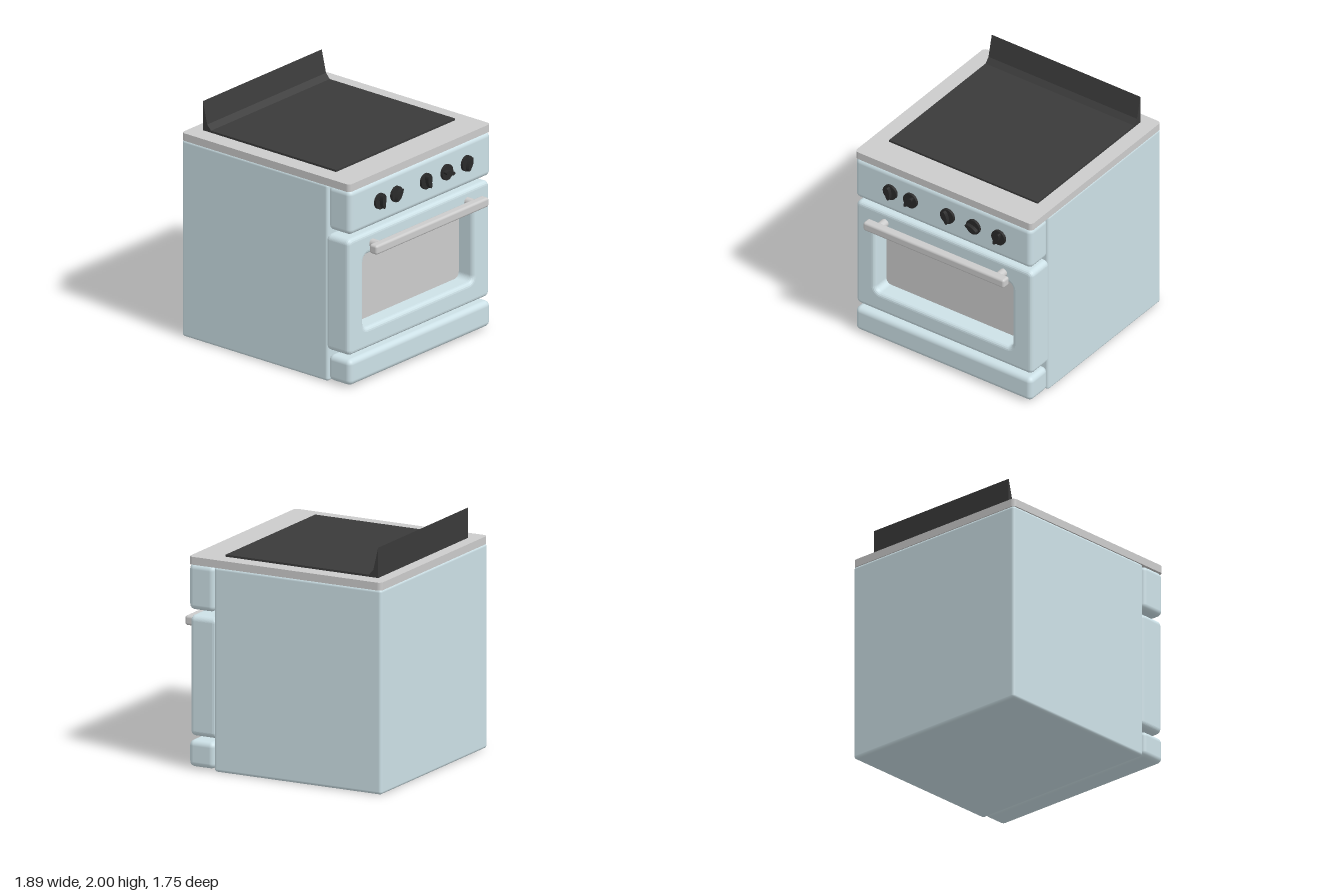
import * as THREE from 'three';
import { RoundedBoxGeometry } from 'three/addons/geometries/RoundedBoxGeometry.js';

const material = (color) => new THREE.MeshStandardMaterial({ color });

// Rounded rectangle outline centred on (cx, cy)
function roundRect(path, cx, cy, w, h, r) {
  const x0 = cx - w / 2, x1 = cx + w / 2, y0 = cy - h / 2, y1 = cy + h / 2;
  path.moveTo(x0 + r, y0);
  path.lineTo(x1 - r, y0);
  path.absarc(x1 - r, y0 + r, r, -Math.PI / 2, 0);
  path.lineTo(x1, y1 - r);
  path.absarc(x1 - r, y1 - r, r, 0, Math.PI / 2);
  path.lineTo(x0 + r, y1);
  path.absarc(x0 + r, y1 - r, r, Math.PI / 2, Math.PI);
  path.lineTo(x0, y0 + r);
  path.absarc(x0 + r, y0 + r, r, Math.PI, Math.PI * 1.5);
  return path;
}

export function createModel() {
  const model = new THREE.Group();
  model.name = 'stove';
  const enamel = material(0xcce0e6);
  const steel = material(0xcccccc);
  const black = material(0x3a3a3a);
  const knobBlack = material(0x2a2a2a);

  function add(name, geometry, mat, parent = model) {
    const mesh = new THREE.Mesh(geometry, mat);
    mesh.name = name;
    parent.add(mesh);
    return mesh;
  }

  // Softened box given by its limits on each axis
  function box(name, x, y, z, r, mat) {
    const g = new RoundedBoxGeometry(x[1] - x[0], y[1] - y[0], z[1] - z[0], 4, r);
    g.translate((x[0] + x[1]) / 2, (y[0] + y[1]) / 2, (z[0] + z[1]) / 2);
    return add(name, g, mat);
  }

  // Cabinet with control panel above and drawer below the door
  const width = [-0.87, 0.87];
  box('body', [-0.95, 0.58], [0, 1.69], width, 0.025, enamel);
  box('controlPanel', [0.58, 0.815], [1.31, 1.69], width, 0.045, enamel);
  box('drawer', [0.58, 0.815], [0.015, 0.235], width, 0.045, enamel);

  // Oven door with a deep window opening, extruded and turned to face +x
  const b = 0.035;
  const door = roundRect(new THREE.Shape(), 0, 0.7675, 1.74 - 2 * b, 0.995 - 2 * b, 0.012);
  door.holes.push(roundRect(new THREE.Path(), -0.005, 0.765, 1.35 + 2 * b, 0.63 + 2 * b, 0.05 + b));
  const doorGeometry = new THREE.ExtrudeGeometry(door, {
    depth: 0.24 - 2 * b, bevelSize: b, bevelThickness: b, bevelSegments: 4, curveSegments: 6,
  });
  doorGeometry.rotateY(Math.PI / 2);
  // mirrored sideways offset: shape x becomes -z
  doorGeometry.translate(0.56 + b, 0, 0);
  add('ovenDoor', doorGeometry, enamel);
  box('ovenWindow', [0.6, 0.645], [0.42, 1.11], [-0.71, 0.71], 0.01, steel);

  // Handle bar on two posts
  box('handle', [0.865, 0.945], [1.125, 1.205], [-0.695, 0.695], 0.02, steel);
  for (const z of [0.58, -0.59]) {
    const post = add('handlePost', new THREE.CylinderGeometry(0.035, 0.035, 0.1, 24), steel);
    post.rotation.z = Math.PI / 2;
    post.position.set(0.84, 1.165, z);
  }

  // Worktop slab with rounded plan corners
  const top = roundRect(new THREE.Shape(), -0.07, 0, 1.76, 1.745, 0.035);
  const topGeometry = new THREE.ExtrudeGeometry(top, { depth: 0.065, bevelEnabled: false, curveSegments: 6 });
  topGeometry.rotateX(-Math.PI / 2);
  topGeometry.translate(0, 1.685, 0);
  add('worktop', topGeometry, steel);

  // Hob plate and upswept back guard in one profile
  const profile = new THREE.Shape([
    [-0.85, 1.745], [0.545, 1.745], [0.545, 1.767], [-0.765, 1.767],
    [-0.805, 1.81], [-0.85, 2],
  ].map(([x, y]) => new THREE.Vector2(x, y)));
  const hob = new THREE.ExtrudeGeometry(profile, { depth: 1.465, bevelEnabled: false });
  hob.translate(0, 0, -0.74);
  add('hobAndBackGuard', hob, black);

  // Knobs: flat dial, raised hub and an oval grip, each turned differently
  const grip = new THREE.Shape().absellipse(0, 0, 0.02, 0.058, 0, Math.PI * 2);
  const gripGeometry = new THREE.ExtrudeGeometry(grip, { depth: 0.035, bevelEnabled: false, curveSegments: 12 });
  gripGeometry.rotateY(Math.PI / 2);
  gripGeometry.translate(0.02, 0, 0);
  const dialGeometry = new THREE.CylinderGeometry(0.066, 0.066, 0.025, 32);
  dialGeometry.rotateZ(Math.PI / 2);
  dialGeometry.translate(0.01, 0, 0);
  for (const [z, turn] of [[0.51, 0.1], [0.31, -0.65], [-0.055, 0.3], [-0.31, 1.25], [-0.56, -0.4]]) {
    const knob = new THREE.Group();
    knob.name = 'knob';
    knob.position.set(0.815, 1.508, z);
    knob.rotation.x = turn;
    add('knobDial', dialGeometry, knobBlack, knob);
    add('knobGrip', gripGeometry, knobBlack, knob);
    model.add(knob);
  }

  return model;
}
